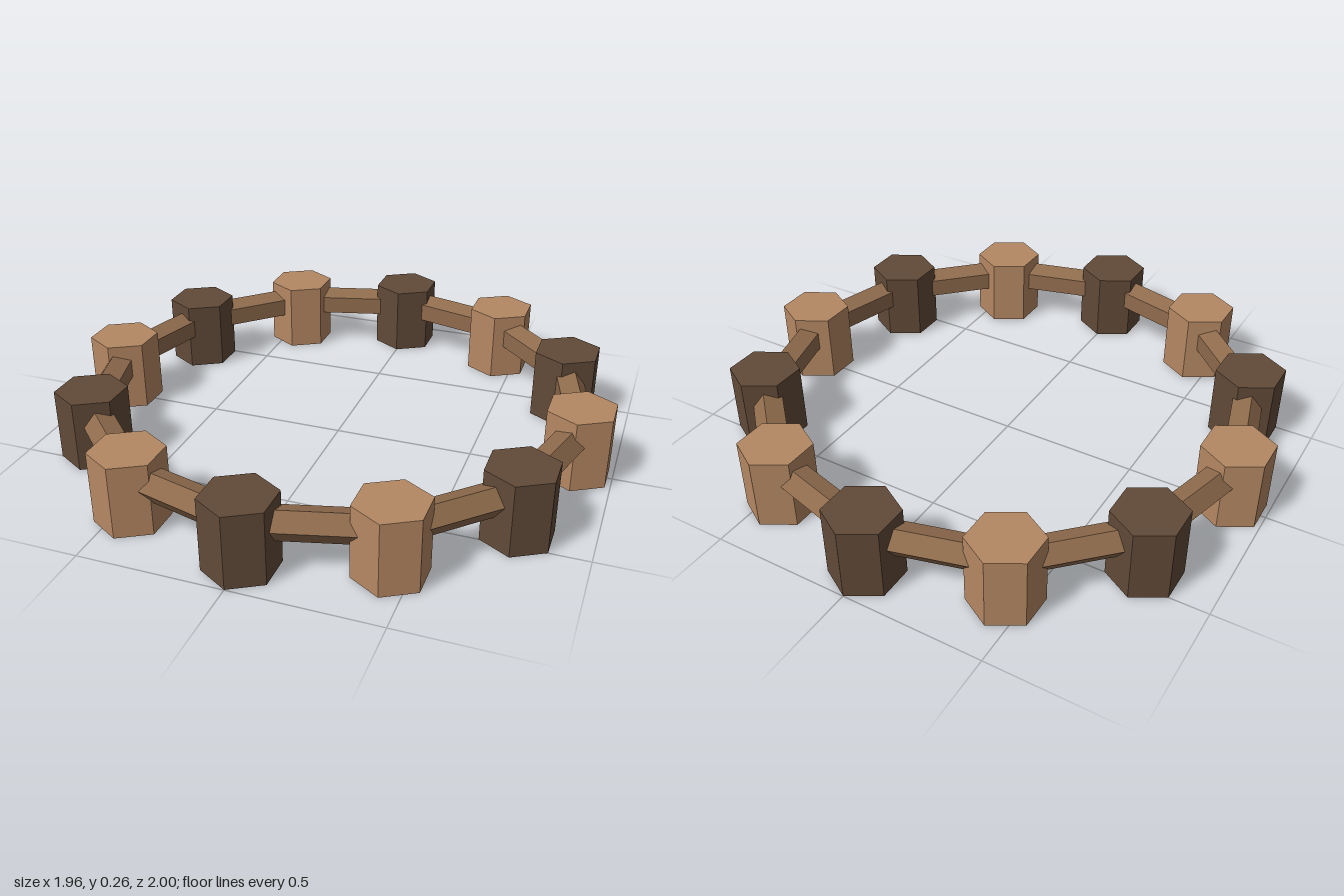
import * as THREE from 'three';

const COUNT = 12;          // posts around the ring
const RING = 0.873;        // radius to post centres
const POST_H = 0.256;

export function createModel() {
  const flat = (name, color) => {
    const m = new THREE.MeshStandardMaterial({ color, flatShading: true });
    m.name = name;
    return m;
  };
  const tan = flat('tan wood', 0xb58863);
  const dark = flat('dark wood', 0x614a38);
  const brown = flat('brown wood', 0x906c4d);

  const model = new THREE.Group();
  model.name = 'postRing';

  // Hexagonal posts, corner towards +z
  const postGeo = new THREE.CylinderGeometry(0.126, 0.126, POST_H, 6);

  // Five-sided rails, running along x with one edge facing outward (+z)
  const step = (Math.PI * 2) / COUNT;
  const railGeo = new THREE.CylinderGeometry(0.058, 0.058, 2 * RING * Math.sin(step / 2), 5);
  railGeo.rotateZ(Math.PI / 2);
  const railRadius = RING * Math.cos(step / 2);

  for (let i = 0; i < COUNT; i++) {
    const a = i * step;
    const post = new THREE.Mesh(postGeo, i % 2 ? tan : dark);
    post.name = 'post' + (i + 1);
    post.position.set(RING * Math.sin(a), POST_H / 2, RING * Math.cos(a));

    const b = a + step / 2;
    const rail = new THREE.Mesh(railGeo, brown);
    rail.name = 'rail' + (i + 1);
    rail.position.set(railRadius * Math.sin(b), 0.164, railRadius * Math.cos(b));
    rail.rotation.y = b;

    model.add(post, rail);
  }
  return model;
}
